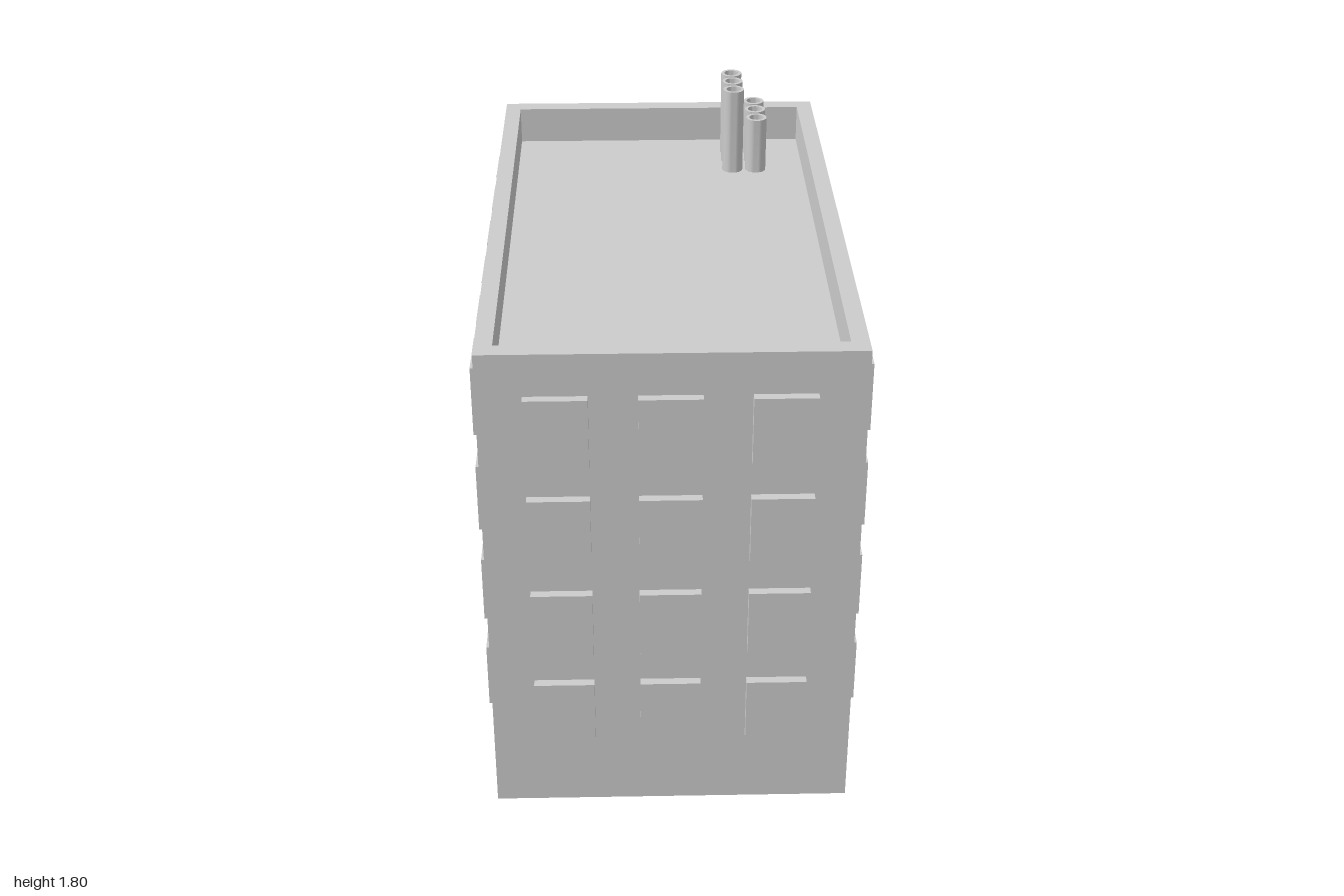
import * as THREE from 'three';
import { toCreasedNormals } from 'three/addons/utils/BufferGeometryUtils.js';

const material = new THREE.MeshStandardMaterial({ color: 0xcccccc });
const ROOF = 1.5, TOP = 1.625;
const OUTER = { x0: -0.565, x1: 0.555, z: 0.972 };
const INNER = { x0: -0.512, x1: 0.501, z: 0.915 };

function add(parent, name, geometry, x = 0, y = 0, z = 0) {
  const mesh = new THREE.Mesh(geometry, material);
  mesh.name = name;
  mesh.position.set(x, y, z);
  parent.add(mesh);
  return mesh;
}

// One closed shell: outer walls, parapet rim, inner parapet faces, roof and underside
function buildingGeometry() {
  const ring = (r, y) => [[r.x0, y, r.z], [r.x1, y, r.z], [r.x1, y, -r.z], [r.x0, y, -r.z]];
  const rings = [ring(OUTER, 0), ring(OUTER, TOP), ring(INNER, TOP), ring(INNER, ROOF)];
  const pos = [];
  const quad = (a, b, c, d) => [a, b, c, a, c, d].forEach(p => pos.push(...p));
  for (let r = 0; r < rings.length - 1; r++) {
    for (let i = 0; i < 4; i++) {
      const j = (i + 1) % 4;
      quad(rings[r][i], rings[r][j], rings[r + 1][j], rings[r + 1][i]);
    }
  }
  quad(...rings[3]);
  quad(...[...rings[0]].reverse());
  const geometry = new THREE.BufferGeometry();
  geometry.setAttribute('position', new THREE.Float32BufferAttribute(pos, 3));
  geometry.computeVertexNormals();
  return geometry;
}

// Hollow pipe standing on the roof
function pipeGeometry(top) {
  const profile = [[0.036, ROOF], [0.036, top], [0.025, top], [0.025, ROOF]];
  const lathe = new THREE.LatheGeometry(profile.map(p => new THREE.Vector2(...p)), 24);
  return toCreasedNormals(lathe, 0.7);
}

export function createModel() {
  const model = new THREE.Group();
  model.name = 'apartmentBlock';
  add(model, 'building', buildingGeometry());

  // Raised window panels, four storeys on all four walls
  const windows = new THREE.Group();
  windows.name = 'windows';
  model.add(windows);
  const W = 0.186, H = 0.224;
  const endWindow = new THREE.BoxGeometry(W, H, 0.028);
  const leftWindow = new THREE.BoxGeometry(0.033, H, W);
  const rightWindow = new THREE.BoxGeometry(0.025, H, W);
  for (let floor = 0; floor < 4; floor++) {
    const y = 0.367 + floor * 0.337;
    for (let i = 0; i < 3; i++) {
      const x = -0.338 + i * 0.328;
      add(windows, 'frontWindow', endWindow, x, y, 0.986);
      add(windows, 'backWindow', endWindow, x, y, -0.986);
    }
    for (let i = 0; i < 6; i++) {
      const z = -0.71 + i * 0.284;
      add(windows, 'leftWindow', leftWindow, OUTER.x1 + 0.0165, y, z);
      add(windows, 'rightWindow', rightWindow, OUTER.x0 - 0.0125, y, z);
    }
  }

  // Two rows of roof pipes, one tall and one short
  const pipes = new THREE.Group();
  pipes.name = 'roofPipes';
  model.add(pipes);
  const tall = pipeGeometry(1.8), short = pipeGeometry(1.695);
  for (const z of [-0.8, -0.719, -0.637]) {
    add(pipes, 'tallPipe', tall, 0.251, 0, z);
    add(pipes, 'shortPipe', short, 0.333, 0, z);
  }
  return model;
}
